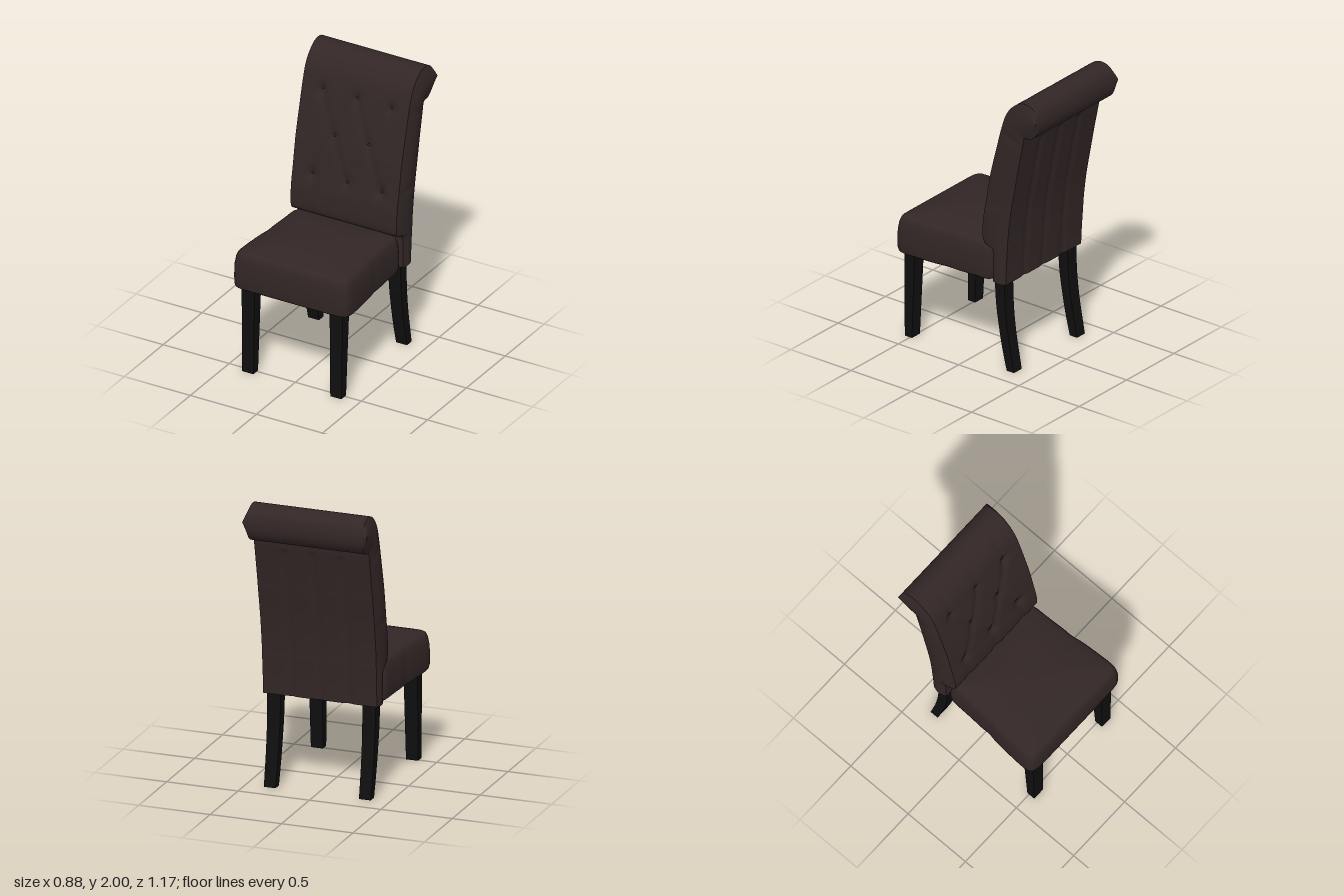
import * as THREE from 'three';
import { toCreasedNormals } from 'three/addons/utils/BufferGeometryUtils.js';

const mat = (name, color) => {
  const m = new THREE.MeshStandardMaterial({ color });
  m.name = name;
  return m;
};
const leather = mat('dark brown leather', 0x322626);
const blackWood = mat('black wood', 0x0f0f0f);
const lining = mat('olive lining', 0x382f1e);

// Skin a stack of closed rings (counterclockwise from above, listed bottom up)
function loft(rings, crease) {
  const n = rings[0].length, pos = [], index = [];
  rings.forEach((ring) => ring.forEach((p) => pos.push(...p)));
  for (let i = 0; i < rings.length - 1; i++) {
    for (let j = 0; j < n; j++) {
      const k = (j + 1) % n;
      const a = i * n + j, b = i * n + k, c = a + n, d = b + n;
      index.push(a, b, d, a, d, c);
    }
  }
  const g = new THREE.BufferGeometry();
  g.setAttribute('position', new THREE.Float32BufferAttribute(pos, 3));
  g.setIndex(index);
  return toCreasedNormals(g, crease);
}

function add(parent, name, geometry, material) {
  const mesh = new THREE.Mesh(geometry, material);
  mesh.name = name;
  parent.add(mesh);
  return mesh;
}

const gauss = (d, s) => Math.exp(-(d * d) / (s * s));
const curve = (pts) => new THREE.CatmullRomCurve3(
  pts.map(([z, y]) => new THREE.Vector3(0, y, z)), false, 'catmullrom', 0.5);

// Front and rear outlines of the scrolled back, as matching [z, y] points
const frontLine = curve([[-0.205, 0.63], [-0.205, 0.76], [-0.2, 0.86], [-0.14, 0.89],
  [-0.12, 0.94], [-0.125, 1.06], [-0.15, 1.2], [-0.185, 1.4], [-0.235, 1.6], [-0.28, 1.77],
  [-0.32, 1.88], [-0.38, 1.955], [-0.45, 1.995], [-0.52, 1.99], [-0.57, 1.95], [-0.59, 1.89]]);
const rearLine = curve([[-0.31, 0.63], [-0.315, 0.74], [-0.32, 0.82], [-0.325, 0.89],
  [-0.33, 0.97], [-0.345, 1.1], [-0.36, 1.2], [-0.39, 1.36], [-0.42, 1.52], [-0.455, 1.69],
  [-0.465, 1.74], [-0.485, 1.75], [-0.52, 1.755], [-0.56, 1.785], [-0.585, 1.835], [-0.59, 1.89]]);

// Tufting: buttons, and the pleats that join them
const buttons = [], pleats = [];
for (const y of [1.74, 1.17]) {
  for (const x of [-0.26, 0, 0.26]) {
    buttons.push([x, y]);
    pleats.push([x, y, x, y > 1.5 ? 1.93 : 0.92, 0.006]);
  }
}
for (const x of [-0.13, 0.13]) {
  buttons.push([x, 1.46]);
  for (const y of [1.74, 1.17]) {
    for (const dx of [-0.13, 0.13]) pleats.push([x, 1.46, x + dx, y, 0.011]);
  }
}

function tuftDepth(x, y) {
  let pleat = 0, dimple = 0;
  for (const [x0, y0, x1, y1, depth] of pleats) {
    const dx = x1 - x0, dy = y1 - y0;
    const t = THREE.MathUtils.clamp(((x - x0) * dx + (y - y0) * dy) / (dx * dx + dy * dy), 0, 1);
    const d = Math.hypot(x - x0 - t * dx, y - y0 - t * dy);
    pleat = Math.max(pleat, depth * gauss(d, 0.028));
  }
  for (const [bx, by] of buttons) {
    dimple = Math.max(dimple, 0.02 * gauss(Math.hypot(x - bx, y - by), 0.04));
  }
  return pleat + dimple;
}

function backGeometry() {
  const rows = 110, cols = 64, sideCols = 8, rings = [];
  for (let i = 0; i <= rows; i++) {
    const t = i / rows, f = frontLine.getPoint(t), r = rearLine.getPoint(t);
    const w = 0.398 + 0.008 * t;
    const seam = Math.max(gauss(f.y - 1.2, 0.03), gauss(f.y - 1.76, 0.03));
    const bulge = (0.014 + 0.017 * t) * (1 - 0.3 * seam);
    const ring = [];
    // tufted front
    for (let j = 0; j <= cols; j++) {
      const x = w * (2 * j / cols - 1);
      ring.push([x, f.y, f.z - (t < 0.85 ? tuftDepth(x, f.y) : 0)]);
    }
    const side = (s, sign) => {
      const p = f.clone().lerp(r, s);
      ring.push([sign * (w + bulge * Math.sin(Math.PI * s)), p.y, p.z]);
    };
    for (let j = 1; j < sideCols; j++) side(j / sideCols, 1);
    // rear with upright channel seams
    for (let j = 0; j <= cols; j++) {
      const x = w * (1 - 2 * j / cols);
      const groove = Math.max(gauss(x, 0.025), gauss(Math.abs(x) - 0.2, 0.025));
      ring.push([x, r.y, r.z + (t < 0.6 ? 0.01 * groove : 0)]);
    }
    for (let j = sideCols - 1; j > 0; j--) side(j / sideCols, -1);
    rings.push(ring);
  }
  rings.unshift(rings[0].map(([x, y]) => [x, y, -0.257])); // closes the underside
  return loft(rings, 0.75);
}

// Rounded, tapering outline of the seat
function seatRing(inset, y, scale = 1) {
  const ring = [], n = 16, count = 128;
  for (let i = 0; i < count; i++) {
    const a = (i / count) * Math.PI * 2, c = Math.cos(a), s = Math.sin(a);
    const r = Math.pow(Math.abs(c) ** n + Math.abs(s) ** n, -1 / n);
    const z = 0.197 - r * s * (0.388 - inset) * scale;
    const half = 0.405 + 0.036 * THREE.MathUtils.smoothstep(z, -0.1, 0.55)
      - 0.006 * gauss(z - 0.18, 0.05) - inset;
    ring.push([r * c * half * scale, y, z]);
  }
  return ring;
}

function seatGeometry() {
  const profile = [[0.055, 0.645], [0.055, 0.622], [0.02, 0.62], [0.007, 0.63], [0.001, 0.66],
    [0, 0.72], [0.002, 0.79], [0.01, 0.845], [0.02, 0.873], [0.032, 0.883]];
  const rings = profile.map(([inset, y]) => seatRing(inset, y));
  // crowned top
  for (let i = 1; i <= 12; i++) {
    const s = 1 - i / 12;
    rings.push(seatRing(0.032, 0.883 + 0.048 * (1 - s ** 2.5), s));
  }
  return loft(rings, 0.7);
}

// Square leg from [y, z front, z rear, half width] stations, bottom up
function legGeometry(stations) {
  const rings = stations.map(([y, zf, zr, h]) => [[-h, y, zf], [h, y, zf], [h, y, zr], [-h, y, zr]]);
  const [y, zf, zr] = stations[0];
  rings.unshift(Array(4).fill([0, y, (zf + zr) / 2]));
  return loft(rings, 0.6);
}

export function createModel() {
  const chair = new THREE.Group();
  chair.name = 'diningChair';

  add(chair, 'backrest', backGeometry(), leather);
  add(chair, 'seat', seatGeometry(), leather);
  add(chair, 'seatUnderside', loft([seatRing(0.055, 0.643, 0), seatRing(0.055, 0.643)], 0.5), lining);

  // Tufting buttons
  const samples = frontLine.getPoints(400).slice(0, 340);
  const buttonGeometry = new THREE.SphereGeometry(0.011, 12, 8);
  for (const [x, y] of buttons) {
    const p = samples.reduce((a, b) => (Math.abs(b.y - y) < Math.abs(a.y - y) ? b : a));
    const button = add(chair, 'button', buttonGeometry, leather);
    button.position.set(x, y, p.z - tuftDepth(x, y) + 0.002);
    button.scale.z = 0.6;
  }

  // Legs: straight tapered in front, swept backwards at the rear
  const frontLeg = legGeometry([[0, 0.545, 0.485, 0.042], [0.65, 0.54, 0.457, 0.05]]);
  const sweep = new THREE.CatmullRomCurve3([[0, -0.3, -0.36], [0.1, -0.276, -0.341],
    [0.2, -0.255, -0.322], [0.32, -0.235, -0.304], [0.45, -0.217, -0.291], [0.65, -0.205, -0.283]]
    .map((p) => new THREE.Vector3(...p)));
  const rearLeg = legGeometry(sweep.getPoints(20).map((p) => [p.x, p.y, p.z, 0.041 + 0.01 * p.x]));
  for (const side of [-1, 1]) {
    add(chair, 'frontLeg', frontLeg, blackWood).position.x = side * 0.333;
    add(chair, 'rearLeg', rearLeg, blackWood).position.x = side * 0.333;
  }
  return chair;
}
